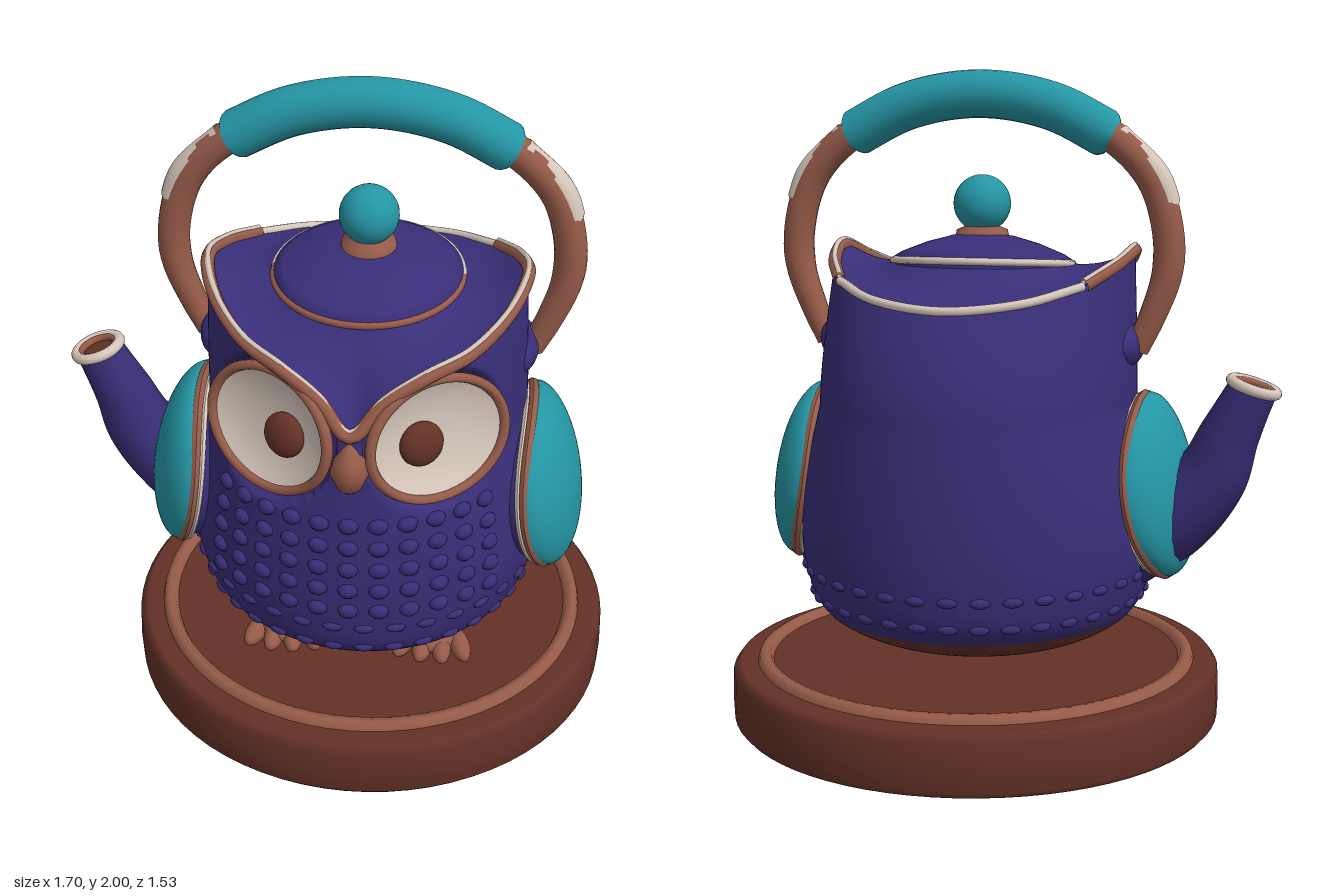
import * as THREE from 'three';
import { mergeGeometries } from 'three/addons/utils/BufferGeometryUtils.js';

const V = (x, y, z) => new THREE.Vector3(x, y, z);

function material(name, color, side = THREE.FrontSide) {
  const m = new THREE.MeshStandardMaterial({ color, side });
  m.name = name;
  return m;
}

// Surface through a stack of closed loops with equal point counts
function loft(rows) {
  const n = rows[0].length, index = [];
  for (let j = 0; j < rows.length - 1; j++) {
    for (let i = 0; i < n; i++) {
      const a = j * n + i, b = j * n + (i + 1) % n;
      index.push(a, b, a + n, b, b + n, a + n);
    }
  }
  const g = new THREE.BufferGeometry().setFromPoints(rows.flat());
  g.setIndex(index);
  g.computeVertexNormals();
  return g;
}

// Tube along a smooth path whose radius follows r(t)
function sweep(points, r, seg = 48, sides = 16) {
  const curve = new THREE.CatmullRomCurve3(points);
  const g = new THREE.TubeGeometry(curve, seg, 1, sides);
  const p = g.attributes.position, v = V(0, 0, 0);
  for (let k = 0; k < p.count; k++) {
    const t = Math.floor(k / (sides + 1)) / seg, c = curve.getPointAt(t);
    v.fromBufferAttribute(p, k).sub(c).multiplyScalar(r(t)).add(c);
    p.setXYZ(k, v.x, v.y, v.z);
  }
  return g;
}

const lathe = (pts, seg = 48) => new THREE.LatheGeometry(pts.map(([x, y]) => new THREE.Vector2(x, y)), seg);
const mirrorPath = (pts) => [...pts, ...pts.slice(0, -1).reverse().map((p) => V(-p.x, p.y, p.z))];

export function createModel() {
  const purple = material('purpleGlaze', 0x392e78, THREE.DoubleSide);
  const teal = material('tealGlaze', 0x2596a5);
  const copper = material('copperBrown', 0x965b49);
  const dark = material('darkBrown', 0x643127);
  const cream = material('cream', 0xd6c7bb, THREE.DoubleSide);

  const model = new THREE.Group();
  const owl = new THREE.Group();
  owl.name = 'owlKettle';
  owl.position.x = 0.075;
  model.add(owl);
  const add = (name, geo, mat, parent = owl, pos = [0, 0, 0]) => {
    const m = new THREE.Mesh(geo, mat);
    m.name = name;
    m.position.set(...pos);
    parent.add(m);
    return m;
  };

  // Round stand with raised ring
  add('stand', lathe([[0, 0], [0.735, 0], [0.745, 0.003], [0.76, 0.02], [0.763, 0.09], [0.76, 0.165], [0.745, 0.186],
    [0.735, 0.19], [0.69, 0.192], [0, 0.195]], 72), dark, model, [0.085, 0, 0]);
  add('standRing', lathe([[0.685, 0.188], [0.68, 0.208], [0.665, 0.216], [0.645, 0.214], [0.635, 0.19]], 72),
    copper, model, [0.085, 0, 0]);

  // Eye frames, used for the sockets and the eyes
  const eyes = [1, -1].map((s) => {
    const g = new THREE.Group();
    g.name = s > 0 ? 'leftEye' : 'rightEye';
    g.rotation.set(-0.13, s * 0.57, 0, 'YXZ');
    g.position.set(s * 0.235, 1.11, 0.445);
    g.updateMatrix();
    owl.add(g);
    return { g, s, inv: g.matrix.clone().invert() };
  });
  const EX = 0.215, EY = 0.185;
  const socket = (p) => {
    for (const { g, inv } of eyes) {
      const q = p.clone().applyMatrix4(inv), r = Math.hypot(q.x / EX, q.y / EY);
      const limit = -0.035 + Math.max(0, r - 1) * 0.4;
      if (r < 1.15 && q.z > limit) p.copy(q.setZ(limit).applyMatrix4(g.matrix));
    }
    return p;
  };

  // Head rim: V brow in front, pointed tufts at the sides, low at the back
  const half = [V(0, 1.16, 0.55), V(0.09, 1.25, 0.51), V(0.2, 1.315, 0.465), V(0.32, 1.35, 0.38), V(0.42, 1.41, 0.25),
    V(0.465, 1.462, 0.11), V(0.44, 1.43, -0.06), V(0.37, 1.38, -0.22), V(0.22, 1.34, -0.36), V(0, 1.32, -0.42)];
  const mirrored = half.slice(1, -1).reverse().map((p) => V(-p.x, p.y, p.z));
  const N = 160;
  const rim = new THREE.CatmullRomCurve3([...half, ...mirrored], true).getPoints(N).slice(0, N);
  const angles = rim.map((p) => Math.atan2(p.x / 0.485, p.z / 0.55));

  // Body profile as half width, height, half depth
  const profile = new THREE.CatmullRomCurve3([V(0, 0.235, 0), V(0.2, 0.248, 0.2), V(0.35, 0.28, 0.35), V(0.435, 0.32, 0.44),
    V(0.485, 0.36, 0.5), V(0.518, 0.42, 0.55), V(0.55, 0.55, 0.57), V(0.545, 0.7, 0.573), V(0.52, 0.85, 0.565),
    V(0.485, 1, 0.55)]).getPoints(54);
  const onBody = (p, a) => V(Math.sin(a) * p.x, p.y, Math.cos(a) * p.z + 0.015);
  const loops = profile.map((p) => angles.map((a) => onBody(p, a)));
  const waist = loops[loops.length - 1];
  const head = [];
  for (let k = 1; k <= 20; k++) {
    const s = k / 20, e = s ** 1.6;
    head.push(rim.map((r, i) => {
      const b = waist[i];
      const p = V(b.x + (r.x - b.x) * e, b.y + (r.y - b.y) * s, b.z + (r.z - b.z) * e);
      return k < 20 ? socket(p) : p;
    }));
  }
  const split = profile.findIndex((p) => p.y >= 0.355);
  add('underside', loft(loops.slice(0, split + 1)), dark);
  add('body', loft([...loops.slice(split).map((l) => l.map(socket)), ...head]), purple);

  // Crown between rim and lid
  const crown = [];
  for (let k = 0; k <= 8; k++) {
    const s = k / 8;
    crown.push(rim.map((r, i) => {
      const q = V(Math.sin(angles[i]) * 0.26, 0, 0.07 + Math.cos(angles[i]) * 0.26);
      q.y = 1.42 - 0.09 * (q.z - 0.07);
      const p = r.clone().lerp(q, s);
      p.y -= 0.018 * Math.sin(Math.PI * s);
      return p;
    }));
  }
  add('crown', loft(crown), purple);

  // Trim along the rim
  const ring = (from, to) => half.slice(from, to).map((p) => p.clone());
  add('browTrim', sweep(mirrorPath(ring(0, 8).reverse()), () => 0.02, 120, 8), copper);
  add('browLine', sweep(mirrorPath(ring(1, 8).reverse().concat(ring(0, 1))).map((p) => p.add(V(0, 0.016, -0.002))),
    () => 0.009, 120, 6), cream);
  add('backTrim', sweep(mirrorPath(ring(7, 10)), () => 0.014, 50, 8), cream);

  // Breast feather bumps, continued low around the back
  const bumps = [];
  [0.87, 0.785, 0.705, 0.63, 0.56, 0.49, 0.42].forEach((y, row) => {
    const p = profile.find((q) => q.y >= y);
    const count = row > 4 ? 36 : 15, step = row > 4 ? Math.PI * 2 / 36 : 0.165;
    for (let i = 0; i < count; i++) {
      const a = (i - (count - 1) / 2) * step;
      if (Math.abs(a) > 0.95 && row < 5) continue;
      const flat = row > 4 ? 0.6 : 1;
      const g = new THREE.SphereGeometry(1, 8, 6);
      g.scale(0.031, 0.025 * flat, 0.021 * flat);
      g.rotateY(a);
      const c = onBody(p, a);
      bumps.push(g.translate(c.x, c.y, c.z));
    }
  });
  add('featherBumps', mergeGeometries(bumps), purple);

  // Eyes: dish, rim and domed pupil
  for (const { g, s } of eyes) {
    const dish = lathe([[0, -0.022], [0.4, -0.018], [0.75, -0.005], [1, 0.02]], 40).rotateX(Math.PI / 2);
    add('eyeDish', dish.scale(EX, EY, 1), cream, g);
    const edge = new THREE.TorusGeometry(1, 0.075, 8, 48);
    add('eyeRim', edge.scale(EX, EY, 0.24), copper, g, [0, 0, 0.012]);
    add('pupil', new THREE.SphereGeometry(1, 24, 16).scale(0.068, 0.068, 0.04), dark, g, [-s * 0.045, -0.01, -0.005]);
  }
  add('beak', lathe([[0, -0.085], [0.035, -0.055], [0.056, -0.005], [0.045, 0.035], [0.02, 0.075], [0, 0.095]], 20),
    copper, owl, [0, 1.05, 0.55]);

  // Lid with knob
  const lid = new THREE.Group();
  lid.name = 'lid';
  lid.position.set(0, 1.42, 0.06);
  lid.rotation.x = 0.09;
  owl.add(lid);
  add('lidDome', lathe([[0.275, -0.03], [0.278, 0.01], [0.25, 0.028], [0.17, 0.06], [0.09, 0.082], [0, 0.088]]), purple, lid);
  [[copper, 0], [cream, Math.PI]].forEach(([m, turn]) => {
    const arc = new THREE.TorusGeometry(0.277, 0.011, 8, 40, Math.PI).rotateX(Math.PI / 2).rotateY(turn);
    add('lidEdge', arc, m, lid);
  });
  add('knobStem', lathe([[0.085, 0], [0.078, 0.03], [0.055, 0.04], [0.05, 0.07]], 24), copper, owl, [0, 1.49, 0.05]);
  add('knob', new THREE.SphereGeometry(0.088, 28, 20), teal, owl, [0, 1.6, 0.05]);

  // Arched handle with grip
  const arch = [V(-0.49, 1.17, 0.015), V(-0.535, 1.27, 0.015), V(-0.578, 1.4, 0.015), V(-0.58, 1.52, 0.015),
    V(-0.53, 1.68, 0.015), V(-0.415, 1.8, 0.015), V(-0.22, 1.895, 0.015), V(0, 1.93, 0.015)];
  add('handle', sweep(mirrorPath(arch), (t) => 0.036 + 0.012 * Math.min(1, 8 * t, 8 * (1 - t)), 80), copper);
  add('grip', sweep(mirrorPath(arch.slice(5)), (t) => 0.072 - 0.03 * Math.max(0, 1 - 25 * Math.min(t, 1 - t)) ** 2, 80, 20), teal);
  for (const s of [1, -1]) {
    const patch = [V(s * 0.59, 1.55, 0.015), V(s * 0.543, 1.687, 0.015), V(s * 0.42, 1.808, 0.015)];
    add('handlePatch', sweep(patch, (t) => 0.042 - 0.03 * Math.max(0, 1 - 5 * t), 20), cream);
    add('handleLug', new THREE.SphereGeometry(1, 24, 16).scale(0.06, 0.07, 0.12), purple, owl, [s * 0.45, 1.18, 0.03]);
  }

  // Wings: domed discs bent around the body
  const bend = (g) => {
    const p = g.attributes.position;
    for (let i = 0; i < p.count; i++) p.setX(i, p.getX(i) - 0.6 * p.getZ(i) ** 2);
    g.computeVertexNormals();
    return g;
  };
  for (const s of [1, -1]) {
    const wing = new THREE.Group();
    wing.name = s > 0 ? 'leftWing' : 'rightWing';
    wing.position.set(s * 0.56, 0.75, 0.06);
    wing.rotation.set(0, s > 0 ? 0 : Math.PI, 0.16);
    owl.add(wing);
    const dome = () => new THREE.SphereGeometry(1, 48, 14, 0, Math.PI * 2, 0, Math.PI / 2);
    add('wingFace', bend(dome().rotateZ(-Math.PI / 2).scale(0.105, 0.285, 0.29)), teal, wing);
    add('wingRoot', bend(dome().rotateZ(Math.PI / 2).scale(0.2, 0.27, 0.275)), purple, wing);
    const hoop = (r, t) => bend(new THREE.TorusGeometry(r, t, 8, 56).rotateY(Math.PI / 2));
    add('wingTrim', hoop(0.275, 0.018), copper, wing, [-0.01, 0, 0]);
    add('wingLine', hoop(0.273, 0.012), cream, wing, [-0.03, 0, 0]);
  }

  // Spout with lipped opening
  const path = [V(-0.43, 0.59, 0.01), V(-0.6, 0.67, 0.01), V(-0.72, 0.79, 0.01), V(-0.775, 0.92, 0.01), V(-0.845, 1.07, 0.01)];
  add('spout', sweep(path, (t) => 0.073 + 0.105 * (1 - t) ** 1.3), purple);
  const mouth = new THREE.Group();
  mouth.name = 'spoutMouth';
  mouth.position.copy(path[4]);
  mouth.quaternion.setFromUnitVectors(V(0, 0, 1), V(-0.3, 0.95, 0).normalize());
  owl.add(mouth);
  add('spoutLip', new THREE.TorusGeometry(0.07, 0.017, 10, 32), cream, mouth);
  add('spoutInner', new THREE.TorusGeometry(0.058, 0.012, 8, 32), copper, mouth);
  add('spoutHole', new THREE.CircleGeometry(0.06, 28), dark, mouth, [0, 0, -0.006]);

  // Clawed feet
  for (const s of [1, -1]) {
    const foot = new THREE.Group();
    foot.name = s > 0 ? 'leftFoot' : 'rightFoot';
    foot.position.set(s * 0.235, 0.228, 0.27);
    owl.add(foot);
    add('heel', new THREE.SphereGeometry(1, 20, 12).scale(0.085, 0.045, 0.11), copper, foot, [0, 0.012, -0.03]);
    for (let i = -1.5; i <= 1.5; i++) {
      const toe = add('toe', new THREE.SphereGeometry(1, 14, 10).scale(0.032, 0.034, 0.075), copper, foot,
        [i * 0.058, 0, 0.05 - Math.abs(i) * 0.015]);
      toe.rotation.y = i * 0.2;
    }
  }
  return model;
}
